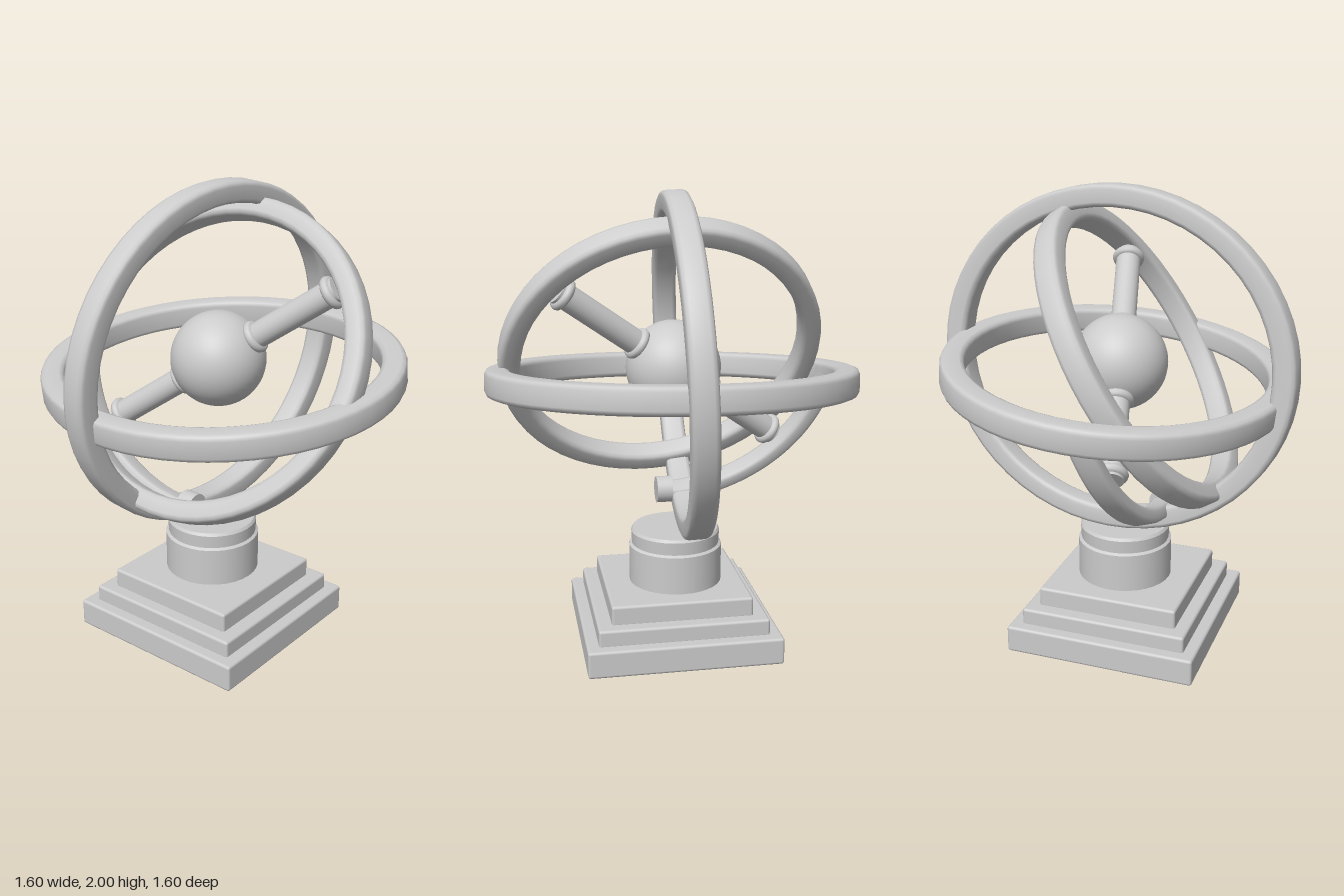
import * as THREE from 'three';
import { RoundedBoxGeometry } from 'three/addons/geometries/RoundedBoxGeometry.js';

const V = (x, y, z) => new THREE.Vector3(x, y, z);

export function createModel() {
  const group = new THREE.Group();
  const material = new THREE.MeshStandardMaterial({ color: 0xcccccc });

  function add(name, geometry, position) {
    const mesh = new THREE.Mesh(geometry, material);
    mesh.name = name;
    mesh.position.copy(position);
    group.add(mesh);
    return mesh;
  }

  // Flat band with rounded edges, swept around an ellipse with outer radii a (along xDir) and b (along zDir)
  function band(name, center, xDir, zDir, a, b, width, thick, start = 0, length = Math.PI * 2) {
    const h = width / 2, c = 0.022, inner = b - thick;
    const profile = [
      [b, 0], [b, h - c], [b - c * 0.3, h - c * 0.3], [b - c, h],
      [inner + c, h], [inner + c * 0.3, h - c * 0.3], [inner, h - c],
      [inner, c - h], [inner + c * 0.3, c * 0.3 - h], [inner + c, -h],
      [b - c, -h], [b - c * 0.3, c * 0.3 - h], [b, c - h], [b, 0],
    ].map(([r, y]) => new THREE.Vector2(r, y));
    const mesh = add(name, new THREE.LatheGeometry(profile, 56, start, length), center);
    const x = xDir.clone().normalize();
    const y = zDir.clone().cross(x).normalize();
    const z = x.clone().cross(y);
    mesh.quaternion.setFromRotationMatrix(new THREE.Matrix4().makeBasis(x, y, z));
    mesh.scale.x = a / b;
  }

  // Cylinder between two points
  function rod(name, from, to, radius) {
    const dir = to.clone().sub(from);
    const geometry = new THREE.CylinderGeometry(radius, radius, dir.length(), 24);
    const mesh = add(name, geometry, from.clone().lerp(to, 0.5));
    mesh.quaternion.setFromUnitVectors(V(0, 1, 0), dir.normalize());
  }

  // Stepped square base: width, depth, bottom, top
  [
    [0.85, 0.84, 0, 0.12],
    [0.745, 0.735, 0.11, 0.19],
    [0.62, 0.62, 0.18, 0.272],
  ].forEach(([w, d, y0, y1], i) => {
    add('baseStep' + (i + 1), new RoundedBoxGeometry(w, y1 - y0, d, 2, 0.012), V(-0.004, (y0 + y1) / 2, 0.06));
  });

  // Round pedestal with a groove below its cap
  const pedestal = [
    [0.207, 0.26], [0.207, 0.44], [0.207, 0.44], [0.195, 0.448], [0.195, 0.448],
    [0.198, 0.505], [0.198, 0.505], [0.19, 0.517], [0.19, 0.517], [0, 0.517],
  ].map(([r, y]) => new THREE.Vector2(r, y));
  add('pedestal', new THREE.LatheGeometry(pedestal, 32), V(-0.018, 0, 0.045));

  // Three crossing rings
  band('verticalRing', V(-0.04, 1.26, 0), V(0.035, 0.74, 0), V(-0.055, 0, 0.8), 0.74, 0.8, 0.11, 0.1);
  band('horizontalRing', V(0, 1.2, 0), V(1, 0.02, 0), V(0, -0.1, 1), 0.8, 0.74, 0.115, 0.1);
  band('tiltedRing', V(0.03, 1.29, 0.11), V(1, -0.03, -0.04), V(0, -0.85, 0.52), 0.71, 0.7, 0.11, 0.09);

  // Curved arm below the rings, with a collar at its free end
  band('curvedArm', V(0, 1.25, 0.03), V(0, -0.95, 0.29), V(-1, 0, 0.06), 0.69, 0.755, 0.1, 0.075, 0.1, 1.5);
  rod('armCollar', V(-0.03, 0.635, 0.22), V(0.04, 0.635, 0.22), 0.06);

  // Central globe on a slanted axle
  const center = V(-0.005, 1.25, 0.015);
  add('globe', new THREE.SphereGeometry(0.205, 40, 28), center);
  const axis = V(0.5, 0.36, -0.135).normalize();
  const along = (t) => center.clone().addScaledVector(axis, t);
  for (const side of [1, -1]) {
    const end = side > 0 ? 0.63 : 0.6;
    rod('axle', along(side * 0.1), along(side * end), 0.055);
    for (const t of [0.205, end - 0.03]) {
      const collar = add('axleCollar', new THREE.TorusGeometry(0.052, 0.02, 10, 28), along(side * t));
      collar.quaternion.setFromUnitVectors(V(0, 0, 1), axis);
    }
  }
  return group;
}
